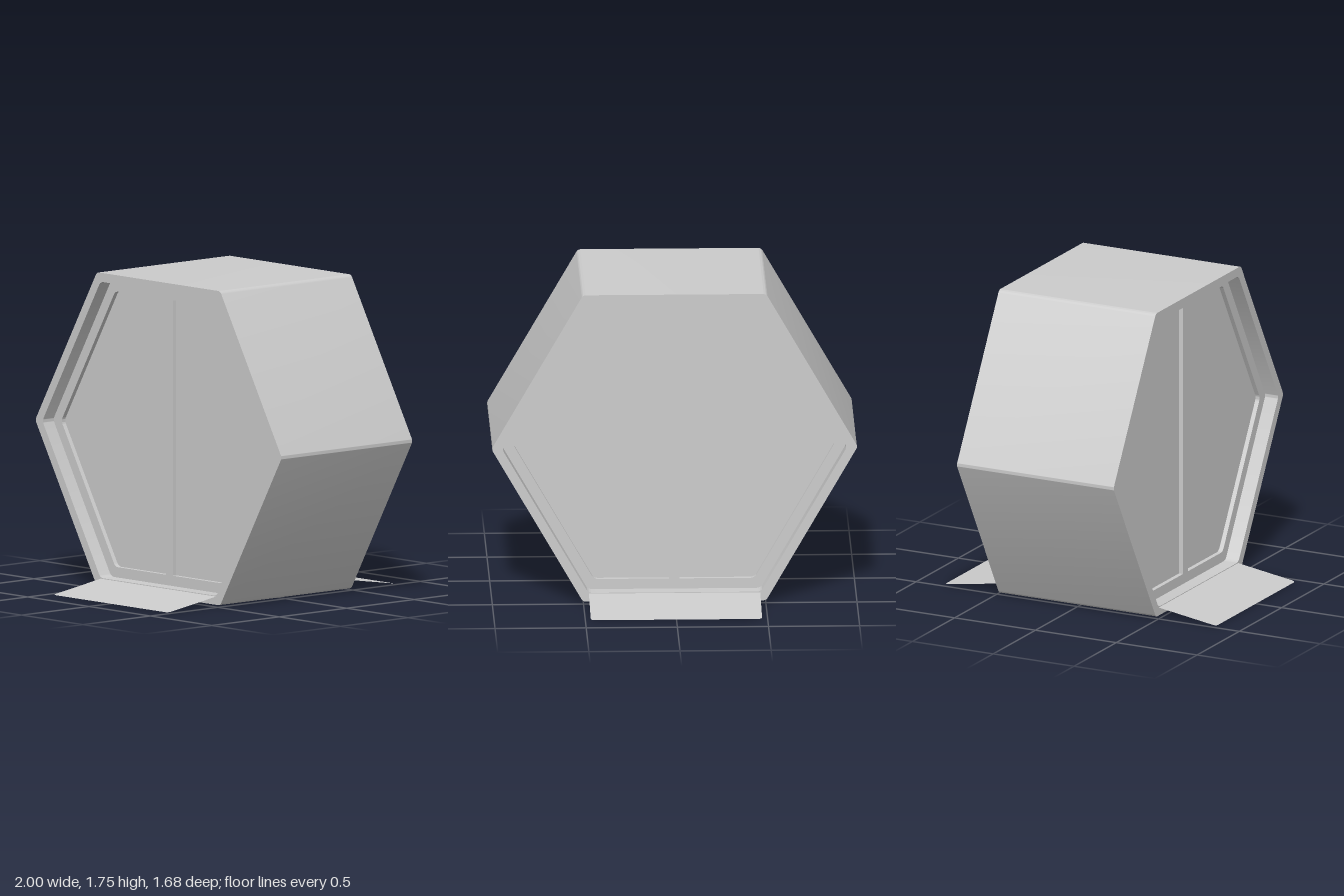
import * as THREE from 'three';
import { toCreasedNormals } from 'three/addons/utils/BufferGeometryUtils.js';

const CENTER_Y = 0.88;
const HALF_DEPTH = 0.485;
const material = new THREE.MeshStandardMaterial({ color: 0xcccccc, side: THREE.DoubleSide });

// Hexagon outline with rounded corners, given its apothem and corner radius
function hexagon(apothem, radius, Type = THREE.Shape) {
  const path = new Type();
  const dist = (apothem - radius) / Math.cos(Math.PI / 6);
  for (let k = 0; k < 6; k++) {
    const a = k * Math.PI / 3;
    path.absarc(dist * Math.cos(a), dist * Math.sin(a), radius, a - Math.PI / 6, a + Math.PI / 6, false);
  }
  path.closePath();
  return path;
}

// Hexagonal ring (or solid plate when inner is 0) from z0 to z0 + depth
function prism(name, outer, outerR, inner, innerR, z0, depth) {
  const shape = hexagon(outer, outerR);
  if (inner) shape.holes.push(hexagon(inner, innerR, THREE.Path));
  let geo = new THREE.ExtrudeGeometry(shape, { depth, bevelEnabled: false, curveSegments: 6 });
  geo = toCreasedNormals(geo, Math.PI / 5);
  geo.translate(0, CENTER_Y, z0);
  const mesh = new THREE.Mesh(geo, material);
  mesh.name = name;
  return mesh;
}

// Thin sloping flap with rounded outer corners
function ramp() {
  const w = 0.47, len = 0.36, r = 0.025;
  const s = new THREE.Shape();
  s.moveTo(-w, 0);
  s.lineTo(w, 0);
  s.lineTo(w, -len + r);
  s.quadraticCurveTo(w, -len, w - r, -len);
  s.lineTo(-w + r, -len);
  s.quadraticCurveTo(-w, -len, -w, -len + r);
  s.closePath();
  const mesh = new THREE.Mesh(new THREE.ShapeGeometry(s, 6), material);
  mesh.name = 'ramp';
  mesh.rotation.x = -Math.PI / 2 + Math.asin(0.055 / len);
  mesh.position.set(0, 0.056, HALF_DEPTH);
  return mesh;
}

// One glazed end: recessed frame, panel, central bar and ramp
function endWall(name) {
  const end = new THREE.Group();
  end.name = name;
  const frameZ = HALF_DEPTH - 0.08;
  end.add(prism('windowFrame', 0.825, 0.04, 0.763, 0.04, frameZ - 0.05, 0.05));
  end.add(prism('windowPanel', 0.8, 0.04, 0, 0, frameZ - 0.045, 0.02));

  const bar = new THREE.Mesh(new THREE.BoxGeometry(0.056, 1.526, 0.04), material);
  bar.name = 'centreBar';
  bar.position.set(0, CENTER_Y, frameZ - 0.02);
  end.add(bar, ramp());
  return end;
}

export function createModel() {
  const model = new THREE.Group();
  model.name = 'hexagonalCabin';

  // Outer hexagonal tube
  model.add(prism('shell', 0.87, 0.03, 0.82, 0.04, -HALF_DEPTH, HALF_DEPTH * 2));

  // Matching ends
  const front = endWall('frontEnd');
  const back = endWall('backEnd');
  back.rotation.y = Math.PI;
  model.add(front, back);
  return model;
}
